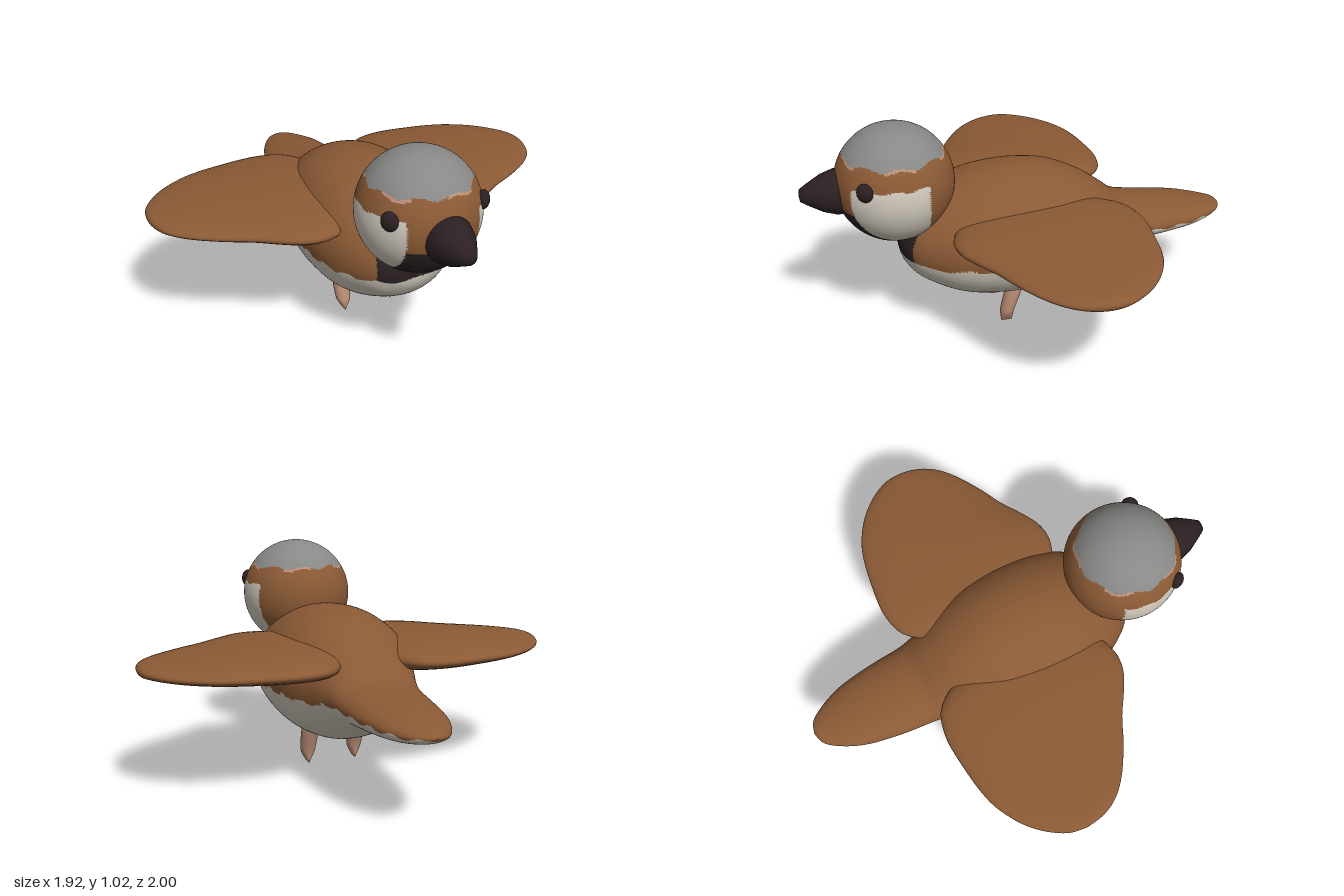
import * as THREE from 'three';

const mat = (name, color, side = THREE.FrontSide) => {
  const m = new THREE.MeshStandardMaterial({ color, side });
  m.name = name;
  return m;
};

// Smooth interpolation through a list of section rows
function sampleRow(rows, t) {
  const u = t * (rows.length - 1);
  const i = Math.min(Math.floor(u), rows.length - 2);
  const f = u - i;
  const p = (k) => rows[Math.max(0, Math.min(rows.length - 1, k))];
  return rows[0].map((_, c) => {
    const a = p(i - 1)[c], b = p(i)[c], d = p(i + 1)[c], e = p(i + 2)[c];
    return b + 0.5 * f * (d - a + f * (2 * a - 5 * b + 4 * d - e + f * (3 * (b - d) + e - a)));
  });
}

// Closed loft: toPoint(row, cos, sin) places each vertex of a cross-section
function loft(rows, toPoint, steps, around) {
  const pos = [], idx = [];
  for (let i = 0; i <= steps; i++) {
    const row = sampleRow(rows, i / steps);
    for (let j = 0; j < around; j++) {
      const a = (j / around) * Math.PI * 2;
      pos.push(...toPoint(row, Math.cos(a), Math.sin(a)));
    }
  }
  for (let i = 0; i < steps; i++) {
    for (let j = 0; j < around; j++) {
      const a = i * around + j, b = i * around + (j + 1) % around;
      idx.push(a, b, a + around, b, b + around, a + around);
    }
  }
  // Turn the faces outward if the signed volume is negative
  const v = (k) => new THREE.Vector3().fromArray(pos, k * 3);
  let volume = 0;
  for (let k = 0; k < idx.length; k += 3) {
    volume += v(idx[k]).dot(v(idx[k + 1]).cross(v(idx[k + 2])));
  }
  if (volume < 0) idx.reverse();
  const g = new THREE.BufferGeometry();
  g.setAttribute('position', new THREE.Float32BufferAttribute(pos, 3));
  g.setIndex(idx);
  g.computeVertexNormals();
  return g;
}

// Sort faces into material groups by a rule on the face centre
function paint(geometry, count, rule) {
  const p = geometry.attributes.position, src = geometry.index.array;
  const lists = Array.from({ length: count }, () => []);
  for (let k = 0; k < src.length; k += 3) {
    const f = [src[k], src[k + 1], src[k + 2]];
    const mean = (get) => (get(f[0]) + get(f[1]) + get(f[2])) / 3;
    lists[rule(mean((i) => p.getX(i)), mean((i) => p.getY(i)), mean((i) => p.getZ(i)))].push(...f);
  }
  geometry.setIndex(lists.flat());
  let start = 0;
  lists.forEach((l, i) => {
    geometry.addGroup(start, l.length, i);
    start += l.length;
  });
  return geometry;
}

export function createModel() {
  const bird = new THREE.Group();
  bird.name = 'bird';
  const brown = mat('brown feathers', 0x8b5a35);
  const cream = mat('cream feathers', 0xd0c9bc);
  const grey = mat('grey crown', 0x888886);
  const black = mat('black', 0x2b2022);
  const pink = mat('pink skin', 0xbd8f77);
  const add = (name, geometry, material) => {
    const m = new THREE.Mesh(geometry, material);
    m.name = name;
    bird.add(m);
    return m;
  };

  // Body and tail: z, bottom, top, half width
  const bodyRows = [
    [0.585, 0.449, 0.451, 0.001], [0.575, 0.385, 0.52, 0.09], [0.55, 0.335, 0.575, 0.15],
    [0.5, 0.28, 0.63, 0.21], [0.4, 0.22, 0.69, 0.275], [0.3, 0.18, 0.73, 0.312],
    [0.2, 0.16, 0.755, 0.33], [0.05, 0.15, 0.766, 0.335], [-0.1, 0.165, 0.752, 0.32],
    [-0.2, 0.195, 0.722, 0.29], [-0.3, 0.24, 0.672, 0.25], [-0.4, 0.295, 0.6, 0.212],
    [-0.48, 0.325, 0.54, 0.198], [-0.6, 0.34, 0.515, 0.188], [-0.7, 0.35, 0.502, 0.175],
    [-0.8, 0.362, 0.488, 0.155], [-0.88, 0.376, 0.472, 0.125], [-0.95, 0.395, 0.456, 0.085],
    [-0.985, 0.412, 0.446, 0.05], [-1, 0.429, 0.431, 0.001],
  ];
  const body = loft(bodyRows, ([z, lo, hi, w], c, s) => [w * c, (lo + hi) / 2 + (hi - lo) / 2 * s, z], 152, 128);
  add('body', paint(body, 3, (x, y, z) => {
    const edge = (z < -0.35 ? 0.42 : 0.405) + 0.007 * Math.sin(z * 45 + x * 20);
    if (y < edge) return 1;
    return z > 0.5 && Math.abs(x) < 0.165 ? 2 : 0;
  }), [brown, cream, black]);

  // Head with crown, cheeks and throat
  const head = new THREE.SphereGeometry(0.267, 128, 96).translate(0, 0.75, 0.58);
  add('head', paint(head, 5, (x, y, z) => {
    const az = Math.atan2(x, z - 0.58);
    const edge = 0.9 + 0.007 * Math.sin(az * 9);
    if (y > edge) return 2;
    if (y > edge - 0.01 && Math.sin(az * 5) > 0.1) return 4;
    const side = Math.abs(x) > 0.163;
    if (side && z > 0.46 && y > 0.53 && y < 0.815 + 0.006 * Math.sin(az * 14)) return 1;
    return z > 0.5 && y < (side ? 0.56 : 0.68) ? 3 : 0;
  }), [brown, cream, grey, black, pink]);

  // Beak
  const beakProfile = [[0, 0.76], [0.098, 0.78], [0.103, 0.84], [0.084, 0.9], [0.05, 0.96], [0.028, 0.995], [0, 1]]
    .map(([r, z]) => new THREE.Vector2(r, z));
  add('beak', new THREE.LatheGeometry(beakProfile, 32).rotateX(Math.PI / 2).translate(0, 0.73, 0), black);

  // Wing: x, back z, front z, half thickness
  const wingRows = [
    [0.1, -0.3, 0.24, 0.05], [0.15, -0.385, 0.29, 0.062], [0.2, -0.44, 0.335, 0.07],
    [0.26, -0.467, 0.368, 0.073], [0.34, -0.48, 0.387, 0.073], [0.42, -0.477, 0.373, 0.071],
    [0.5, -0.468, 0.33, 0.066], [0.6, -0.453, 0.265, 0.058], [0.7, -0.425, 0.215, 0.05],
    [0.8, -0.37, 0.155, 0.042], [0.87, -0.31, 0.1, 0.035], [0.92, -0.245, 0.04, 0.029],
    [0.95, -0.185, -0.03, 0.02], [0.962, -0.115, -0.105, 0.001],
  ];
  // Leg: y, centre z, half width, half depth
  const legRows = [
    [0.22, 0.055, 0.036, 0.042], [0.16, 0.072, 0.041, 0.04], [0.07, 0.098, 0.036, 0.034],
    [0.035, 0.103, 0.024, 0.031], [0, 0.103, 0.002, 0.026],
  ];

  for (const [side, k] of [['left', 1], ['right', -1]]) {
    add(side + 'Wing', loft(wingRows, ([x, back, front, h], c, s) =>
      [k * x, 0.577 + h * s, (back + front) / 2 + (front - back) / 2 * c], 52, 40), brown);

    add(side + 'Leg', loft(legRows, ([y, z, w, d], c, s) =>
      [k * 0.12 + w * c, y, z + d * s], 20, 20), pink);

    const eye = add(side + 'Eye', new THREE.SphereGeometry(0.04, 24, 16), black);
    eye.scale.set(0.95, 1.05, 0.7);
    eye.position.set(k * 0.212, 0.812, 0.733);
    eye.rotation.y = k * 0.95;
  }
  return bird;
}
